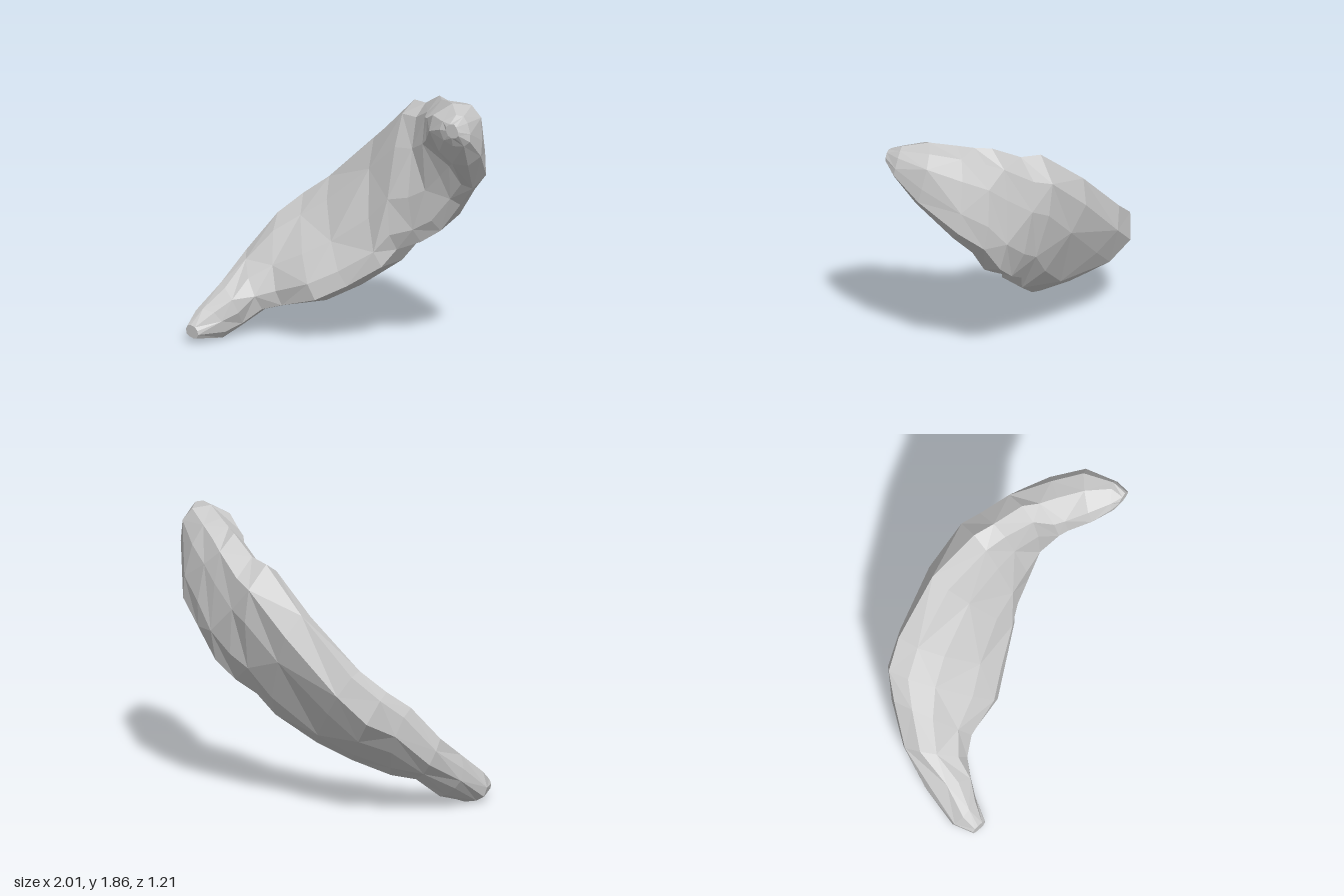
import * as THREE from 'three';

// Rails along the upper and lower edge, from the low tip to the high tip
const upperEdge = [
  [-0.95, 0.09, 0.61], [-1.0, 0.1, 0.49], [-0.98, 0.28, 0.25], [-0.95, 0.46, -0.02],
  [-0.84, 0.72, -0.23], [-0.75, 0.85, -0.37], [-0.58, 1.0, -0.45], [-0.22, 1.37, -0.5],
  [0.1, 1.65, -0.44], [0.24, 1.67, -0.4], [0.43, 1.78, -0.33], [0.52, 1.79, -0.26],
  [0.62, 1.82, -0.2], [0.77, 1.86, -0.1], [0.91, 1.84, 0.01], [0.93, 1.8, 0.09],
];
const lowerEdge = [
  [-0.84, 0.07, 0.61], [-0.78, 0.06, 0.42], [-0.74, 0.1, 0.3], [-0.64, 0.2, 0.22],
  [-0.52, 0.24, 0.16], [-0.25, 0.33, 0.13], [-0.07, 0.44, 0.02], [0.13, 0.59, -0.1],
  [0.2, 0.71, -0.17], [0.35, 0.78, -0.24], [0.47, 0.87, -0.3], [0.61, 1.07, -0.34],
  [0.75, 1.22, -0.31], [0.9, 1.46, -0.11], [0.98, 1.64, 0.01], [0.97, 1.71, 0.08],
];
// Half thickness at each station: front upper, front lower, back upper, back lower
const depths = [
  [0.04, 0.04, 0.04, 0.04], [0.14, 0.14, 0.08, 0.08], [0.16, 0.17, 0.1, 0.1], [0.15, 0.16, 0.12, 0.08],
  [0.16, 0.14, 0.16, 0.14], [0.15, 0.14, 0.21, 0.18], [0.15, 0.13, 0.18, 0.2], [0.13, 0.12, 0.2, 0.23],
  [0.12, 0.13, 0.25, 0.26], [0.11, 0.13, 0.22, 0.24], [0.14, 0.13, 0.19, 0.22], [0.21, 0.12, 0.18, 0.18],
  [0.21, 0.11, 0.16, 0.15], [0.19, 0.16, 0.16, 0.13], [0.13, 0.12, 0.06, 0.06], [0.05, 0.05, 0.04, 0.04],
];
// Cross-section outline: [position towards upper edge, share of depth, depth column]
const outline = [
  [1, 0, 0], [0.8, 0.75, 0], [0.35, 1, 0], [-0.35, 1, 1], [-0.82, 0.6, 1],
  [-1, 0, 0], [-0.82, -0.75, 3], [-0.35, -1, 3], [0.35, -1, 2], [0.8, -0.75, 2],
];
const SIDES = outline.length;
const LAST = depths.length - 1;
const vec = (p) => new THREE.Vector3(...p);
const centres = upperEdge.map((p, i) => vec(p).lerp(vec(lowerEdge[i]), 0.5));

// Flattened ring of points around one station
function makeRing(depth, i) {
  const along = centres[Math.min(i + 1, LAST)].clone().sub(centres[Math.max(i - 1, 0)]);
  const across = vec(upperEdge[i]).sub(centres[i]);
  const normal = along.cross(across).normalize();
  return outline.map(([side, share, column]) => centres[i].clone()
    .addScaledVector(across, side)
    .addScaledVector(normal, share * depth[column]));
}

// Skin over the rings, with a closed cap at both tips
function makeBody() {
  const points = [...depths.flatMap(makeRing), centres[0], centres[LAST]];
  const startCap = points.length - 2;
  const endCap = points.length - 1;
  const index = [];
  for (let j = 0; j < SIDES; j++) {
    const k = (j + 1) % SIDES;
    for (let i = 0; i < LAST; i++) {
      const a = i * SIDES + j, b = i * SIDES + k;
      const c = b + SIDES, d = a + SIDES;
      // Alternate the diagonals for an irregular, chiselled look
      if ((i + j) % 2) index.push(a, b, c, a, c, d);
      else index.push(a, b, d, b, c, d);
    }
    index.push(startCap, k, j, endCap, LAST * SIDES + j, LAST * SIDES + k);
  }
  const geometry = new THREE.BufferGeometry().setFromPoints(points);
  geometry.setIndex(index);
  geometry.computeVertexNormals();
  return geometry;
}

export function createModel() {
  const group = new THREE.Group();
  group.name = 'curvedFragment';
  const material = new THREE.MeshStandardMaterial({ color: 0xcccccc, flatShading: true });
  const body = new THREE.Mesh(makeBody(), material);
  body.name = 'body';
  group.add(body);
  return group;
}
